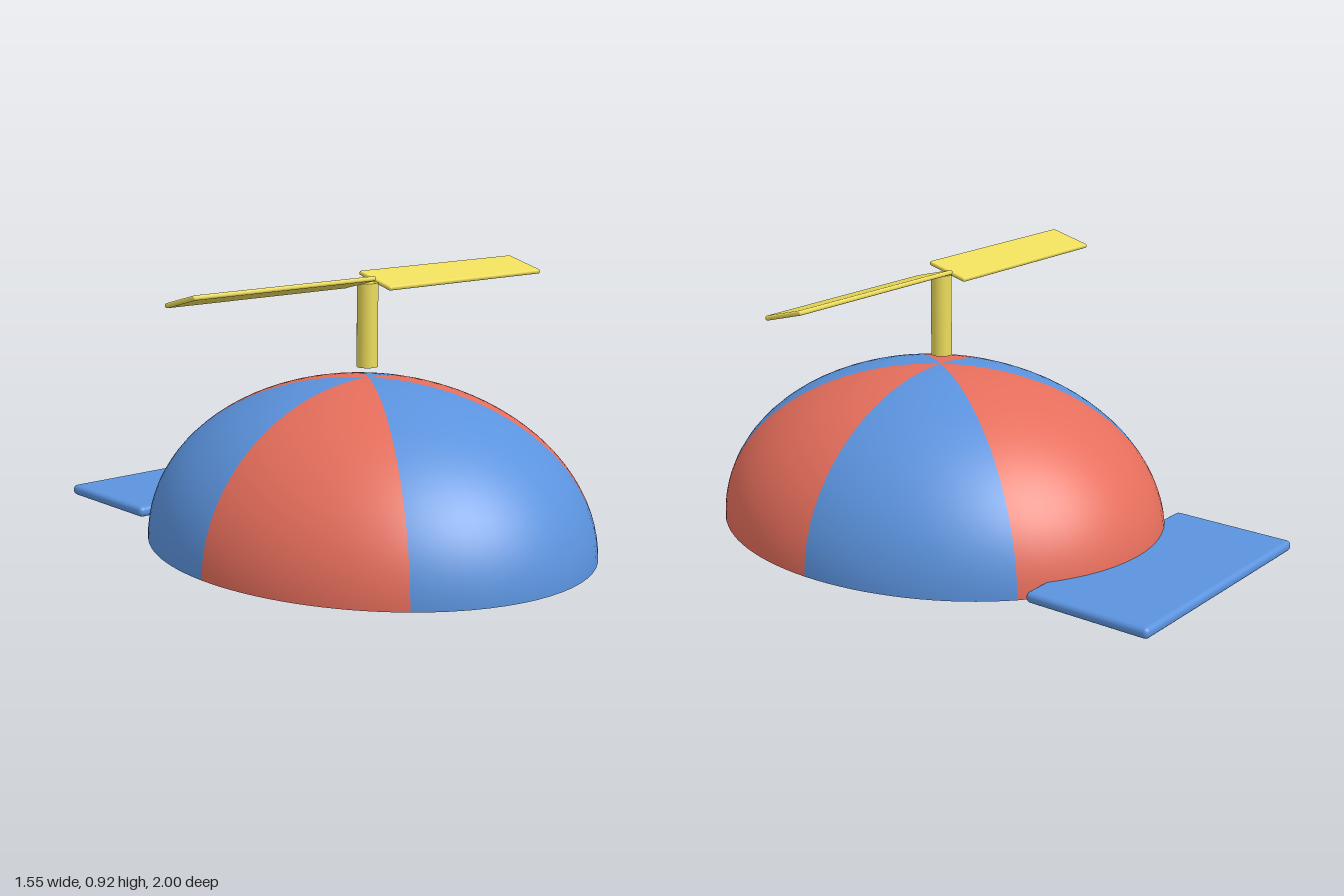
import * as THREE from 'three';
import { RoundedBoxGeometry } from 'three/addons/geometries/RoundedBoxGeometry.js';

const mat = (color, side = THREE.FrontSide) => new THREE.MeshStandardMaterial({ color, side });
const RED = 0xe66e5c, BLUE = 0x5b93de, YELLOW = 0xecdc5c;
const CENTER_Z = 0.165;

function add(parent, name, geometry, material, x, y, z) {
  const mesh = new THREE.Mesh(geometry, material);
  mesh.name = name;
  mesh.position.set(x, y, z);
  parent.add(mesh);
  return mesh;
}

export function createModel() {
  const model = new THREE.Group();
  model.name = 'propellerCap';

  // Open half-ellipsoid crown, six panels of alternating colour
  const crown = new THREE.Group();
  crown.name = 'crown';
  crown.position.z = CENTER_Z;
  crown.scale.set(0.71, 0.57, 0.835);
  const seam = 0.652; // seam angle measured from the front
  const seams = [-seam, seam, Math.PI / 2, Math.PI - seam, Math.PI + seam, Math.PI * 1.5, Math.PI * 2 - seam];
  for (let i = 0; i < 6; i++) {
    const panel = new THREE.SphereGeometry(1, 16, 24,
      Math.PI / 2 + seams[i], seams[i + 1] - seams[i], 0, Math.PI / 2);
    add(crown, 'crownPanel' + (i + 1), panel, mat(i % 2 ? RED : BLUE, THREE.DoubleSide), 0, 0, 0);
  }
  model.add(crown);

  // Flat brim at the back
  add(model, 'brim', new RoundedBoxGeometry(0.91, 0.038, 0.455, 4, 0.017), mat(BLUE), 0, 0.031, -0.7725);

  // Propeller: stem and two blades pitched in opposite directions
  const propeller = new THREE.Group();
  propeller.name = 'propeller';
  propeller.position.z = CENTER_Z;
  const yellow = mat(YELLOW);
  add(propeller, 'stem', new THREE.CylinderGeometry(0.036, 0.036, 0.285, 32), yellow, 0, 0.7485, -0.005);
  for (const side of [1, -1]) {
    const blade = add(propeller, side > 0 ? 'leftBlade' : 'rightBlade',
      new RoundedBoxGeometry(0.745, 0.016, 0.162, 3, 0.007), yellow, side * 0.4025, 0.895, -0.005);
    blade.rotation.x = side * 0.26;
  }
  model.add(propeller);

  return model;
}
